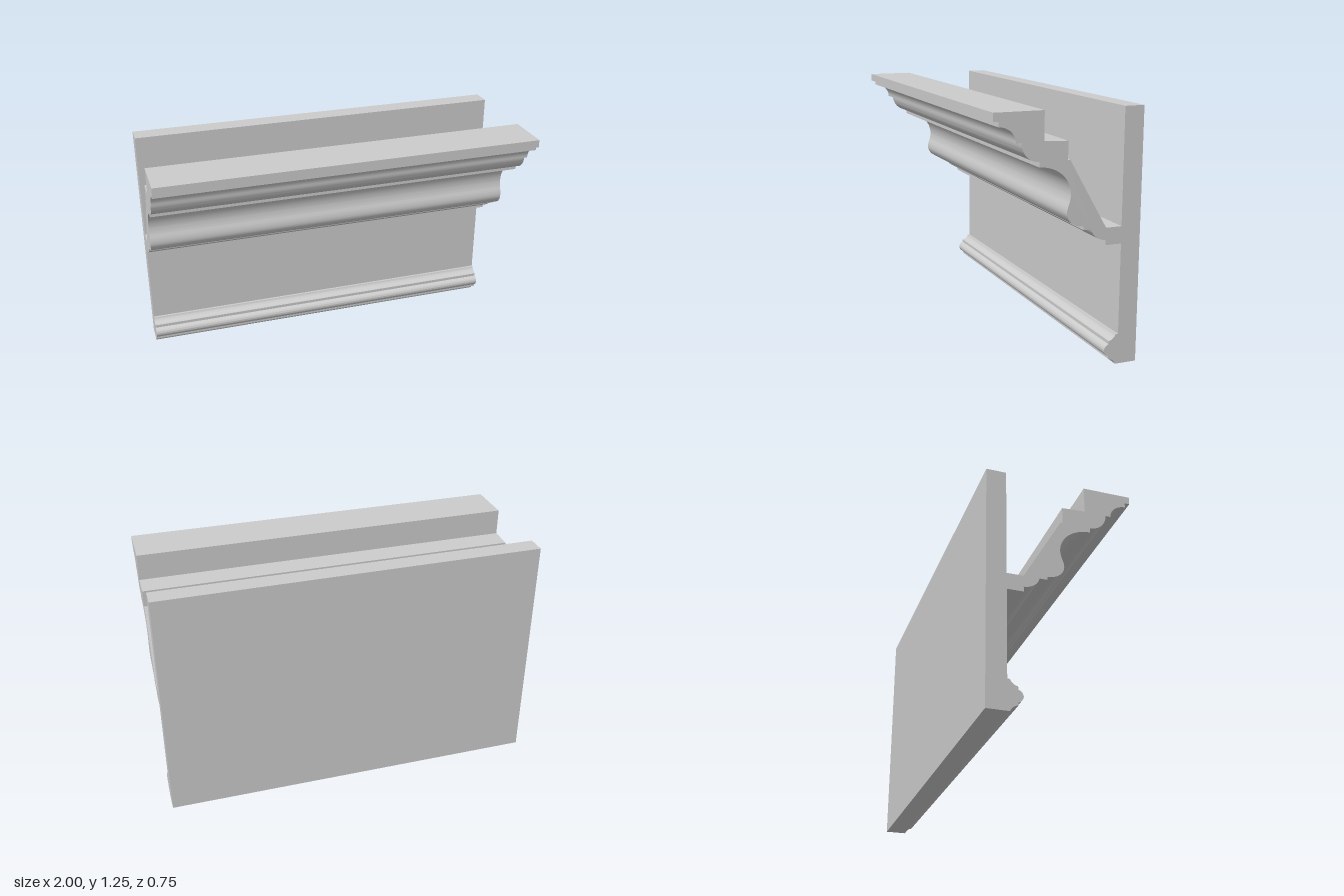
import * as THREE from 'three';
import { toCreasedNormals } from 'three/addons/utils/BufferGeometryUtils.js';

const LENGTH = 2;
const K = 0.5523; // cubic approximation of a quarter ellipse

// Profile steps in (z, y): [z, y] is a straight line,
// [cornerZ, cornerY, z, y] is a quarter round tangent to both sides of the corner.
function profile(steps) {
  const shape = new THREE.Shape();
  let [pz, py] = steps[0];
  shape.moveTo(pz, py);
  for (const s of steps.slice(1)) {
    const [z, y] = s.slice(-2);
    if (s.length === 2) shape.lineTo(z, y);
    else {
      const [cz, cy] = s;
      shape.bezierCurveTo(
        pz + (cz - pz) * K, py + (cy - py) * K,
        z + (cz - z) * K, y + (cy - y) * K, z, y);
    }
    pz = z;
    py = y;
  }
  return shape;
}

// Run a profile along x, centred
function moulding(name, steps, material) {
  const geometry = new THREE.ExtrudeGeometry(profile(steps), {
    depth: LENGTH, bevelEnabled: false, curveSegments: 14,
  });
  geometry.translate(0, 0, -LENGTH / 2);
  geometry.rotateY(-Math.PI / 2);
  const mesh = new THREE.Mesh(toCreasedNormals(geometry, 0.5), material);
  mesh.name = name;
  return mesh;
}

export function createModel() {
  const material = new THREE.MeshStandardMaterial({ color: 0xcccccc });
  const group = new THREE.Group();
  group.name = 'corniceAndSkirting';

  // Flat wall board behind the mouldings
  const wall = new THREE.Mesh(new THREE.BoxGeometry(LENGTH, 1.25, 0.1), material);
  wall.name = 'wallBoard';
  wall.position.set(0, 0.625, -0.325);
  group.add(wall);

  group.add(moulding('crownMoulding', [
    [0.13, 1.25], [0.375, 1.25], [0.375, 1.21], [0.35, 1.21], [0.35, 1.185],
    [0.267, 1.185, 0.267, 1.11],                       // upper cove
    [0.24, 1.11],
    [0.24, 1.02, 0.153, 1.02],                         // ovolo
    [0.153, 0.995],
    [-0.007, 0.995, -0.007, 0.86],                     // large cyma, hollow
    [-0.007, 0.832, 0.003, 0.81],                      // cyma, reversal
    [0.011, 0.792, 0.011, 0.773],
    [0.011, 0.703, -0.075, 0.703],                     // cyma, round
    [-0.075, 0.686], [-0.115, 0.686],
    [-0.125, 0.628, -0.193, 0.628],                    // lower ovolo
    [-0.193, 0.602], [-0.275, 0.602], [-0.275, 0.686], // foot against the wall
    [-0.193, 0.686], [0, 1.02], [0.011, 1.02],         // sloping back
    [0.011, 1.107], [0.13, 1.112],
  ], material));

  group.add(moulding('skirtingMoulding', [
    [-0.275, 0], [-0.275, 0.152], [-0.262, 0.152],
    [-0.255, 0.125, -0.225, 0.122],                    // upper cove
    [-0.225, 0.106],
    [-0.2, 0.1, -0.2, 0.076],                          // bead
    [-0.2, 0.052, -0.225, 0.045],
    [-0.225, 0.031],
    [-0.255, 0.028, -0.263, 0],                        // lower cove
  ], material));

  return group;
}
